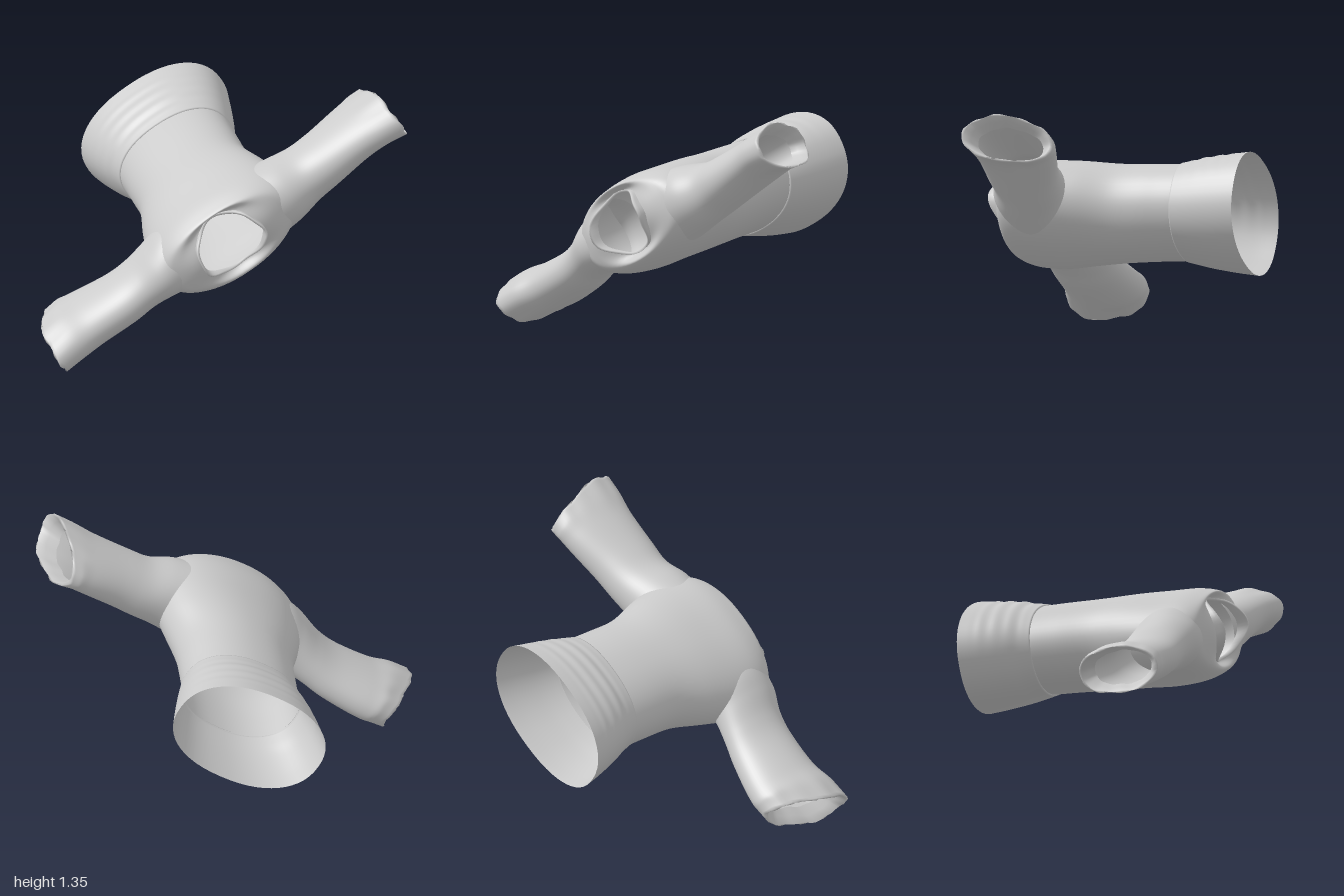
import * as THREE from 'three';

const SIDES = 56;
const material = new THREE.MeshStandardMaterial({ color: 0xcccccc, side: THREE.DoubleSide });
const { smoothstep } = THREE.MathUtils;

// Smoothly sample key sections of five numbers
function sampleKeys(keys, steps) {
  const curve = (points) => new THREE.CatmullRomCurve3(points, false, 'catmullrom', 0.5);
  const centres = curve(keys.map((k) => new THREE.Vector3(k[0], k[1], k[2])));
  const sizes = curve(keys.map((k) => new THREE.Vector3(k[3], k[4], 0)));
  return Array.from({ length: steps + 1 }, (_, i) => {
    const s = sizes.getPoint(i / steps);
    return [...centres.getPoint(i / steps).toArray(), s.x, s.y];
  });
}

// Skin closed loops: point(row, angle, rowIndex) gives [x, y, z]
function loft(name, rows, point, flip = false) {
  const pos = [], index = [];
  rows.forEach((row, r) => {
    for (let i = 0; i < SIDES; i++) pos.push(...point(row, (i / SIDES) * Math.PI * 2, r));
    if (r === 0) return;
    for (let i = 0; i < SIDES; i++) {
      const j = (i + 1) % SIDES, p = (r - 1) * SIDES, q = r * SIDES;
      if (flip) index.push(p + i, q + i, p + j, p + j, q + i, q + j);
      else index.push(p + i, p + j, q + i, p + j, q + j, q + i);
    }
  });
  const geo = new THREE.BufferGeometry();
  geo.setAttribute('position', new THREE.Float32BufferAttribute(pos, 3));
  geo.setIndex(index);
  geo.computeVertexNormals();
  const mesh = new THREE.Mesh(geo, material);
  mesh.name = name;
  return mesh;
}

// Rounded superellipse coordinates
const bend = (v, n) => Math.sign(v) * Math.abs(v) ** (2 / n);
const sup = (t, n) => [bend(Math.cos(t), n), bend(Math.sin(t), n)];

// Torso and skirt rows: z, centre x, centre y, half width, half height
const ring = ([z, cx, cy, a, b], t, n) => {
  const [c, s] = sup(t, n);
  return [cx + a * c, cy + b * s, z];
};

function makeBodice() {
  const rows = sampleKeys([
    [-0.345, 0, 0.058, 0.328, 0.235],
    [-0.2, 0, 0.05, 0.325, 0.238],
    [0, 0, 0.036, 0.33, 0.243],
    [0.2, 0, 0.025, 0.385, 0.248],
    [0.36, 0, 0.012, 0.42, 0.25],
    [0.5, 0, 0.01, 0.42, 0.243],
    [0.585, 0, 0.012, 0.385, 0.222],
    [0.622, 0, 0.018, 0.31, 0.2],
    [0.615, 0, 0.025, 0.19, 0.166],
  ], 56);
  // the neckline dips at the front and back of the neck
  return loft('bodice', rows, (row, t) => {
    const p = ring(row, t, 2.15);
    const neck = 1 - smoothstep(row[3], 0.19, 0.34);
    p[2] += 0.04 * neck * smoothstep(row[0], 0.5, 0.6) * Math.cos(2 * t);
    return p;
  });
}

function makeSkirt() {
  const rows = sampleKeys([
    [-0.705, -0.012, 0.075, 0.425, 0.295],
    [-0.6, -0.01, 0.07, 0.403, 0.285],
    [-0.48, -0.005, 0.065, 0.373, 0.27],
    [-0.4, 0, 0.06, 0.349, 0.254],
    [-0.335, 0, 0.058, 0.332, 0.241],
  ], 40);
  rows.push([-0.335, 0, 0.058, 0.326, 0.234]);
  // shallow gathers on the upper side
  return loft('skirt', rows, (row, t) => {
    const p = ring(row, t, 2.25);
    const fade = smoothstep(row[0], -0.66, -0.58) * (1 - smoothstep(row[0], -0.42, -0.35));
    p[1] += 0.003 * fade * Math.max(0, Math.sin(t)) * Math.sin(row[0] * 80 + Math.cos(t) * 1.5);
    return p;
  });
}

function makeCollar() {
  // standing band, tall at the two shoulders and vanishing between them
  const rows = [
    [0.61, 0.195, 0.17, 0.04],
    [0.63, 0.196, 0.171, 0.053],
    [0.645, 0.196, 0.171, 0.064],
    [0.643, 0.184, 0.159, 0.064],
    [0.608, 0.184, 0.159, 0.04],
  ];
  return loft('collar', rows, ([z, a, b, wave], t) => {
    const facet = 1 + 0.02 * Math.cos(7 * t + 0.6);
    return [a * facet * Math.cos(t), 0.025 + b * facet * Math.sin(t), z + wave * Math.cos(2 * t)];
  });
}

// Sleeve keys: distance out, centre y, centre z, half thickness, half depth
function makeSleeve(name, side, keys) {
  const rows = sampleKeys(keys, 52);
  // crumpled lip folded back into the opening
  const [u0, y0, z0, h0, d0] = keys[keys.length - 1];
  [[0.005, 0.94], [-0.04, 0.82], [-0.1, 0.72]].forEach(([du, k]) =>
    rows.push([u0 + du, y0, z0, h0 * k, d0 * k]));
  return loft(name, rows, ([u, cy, cz, h, d], t, r) => {
    const [c, s] = sup(t, 2.1);
    const out = smoothstep(u, 0.85, 1.09);
    const lip = r > 52 ? r : 0;
    const crumple = out * (Math.sin(5 * t + 1) + 0.7 * Math.sin(11 * t + lip));
    // the cuff is cut shorter toward the back
    const cut = 0.11 * out * ((1 - c) / 2) ** 2;
    return [
      side * (u - cut + 0.005 * crumple),
      cy + (h + 0.004 * crumple) * s,
      cz + d * c,
    ];
  }, side > 0);
}

export function createModel() {
  const group = new THREE.Group();
  group.name = 'garment';

  const body = new THREE.Group();
  body.name = 'tiltedGarment';
  body.position.y = 0.68;
  body.rotation.z = 0.541;
  body.add(makeBodice(), makeSkirt(), makeCollar());

  // each sleeve flares at its root to run smoothly into the shoulder
  body.add(makeSleeve('leftSleeve', 1, [
    [0.22, 0, 0.425, 0.205, 0.188],
    [0.31, -0.005, 0.425, 0.19, 0.195],
    [0.4, -0.01, 0.42, 0.173, 0.195],
    [0.52, -0.02, 0.395, 0.146, 0.185],
    [0.65, -0.015, 0.385, 0.134, 0.195],
    [0.85, 0, 0.362, 0.122, 0.217],
    [0.98, 0.006, 0.363, 0.121, 0.232],
    [1.09, 0, 0.367, 0.129, 0.236],
  ]));
  body.add(makeSleeve('rightSleeve', -1, [
    [0.22, 0.012, 0.43, 0.2, 0.185],
    [0.31, 0.025, 0.43, 0.172, 0.192],
    [0.4, 0.02, 0.428, 0.144, 0.192],
    [0.52, -0.005, 0.4, 0.122, 0.185],
    [0.65, -0.025, 0.38, 0.12, 0.195],
    [0.85, -0.024, 0.357, 0.126, 0.217],
    [0.98, -0.015, 0.367, 0.13, 0.235],
    [1.1, -0.018, 0.38, 0.125, 0.24],
  ]));

  group.add(body);
  return group;
}
